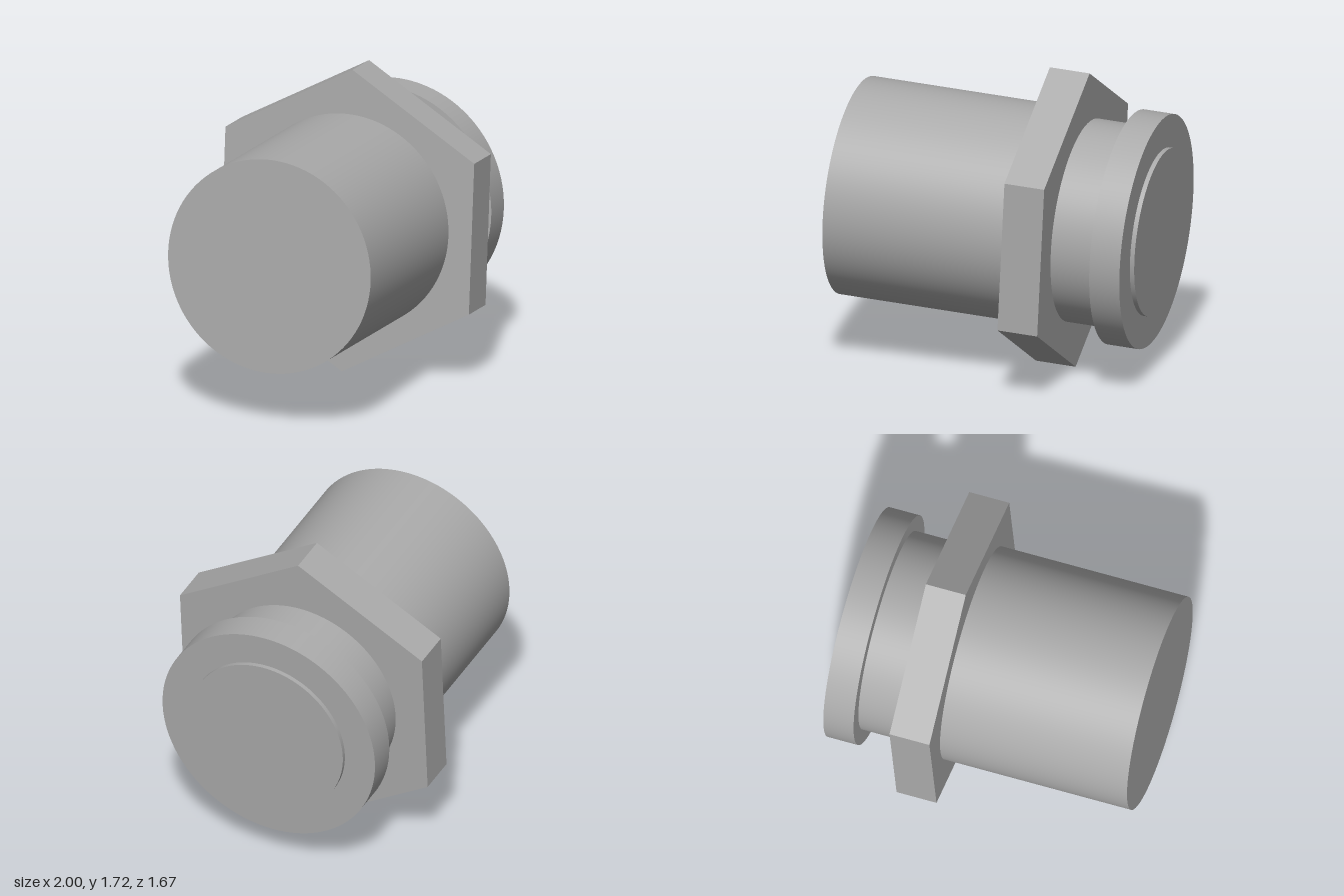
import * as THREE from 'three';

export function createModel() {
  const model = new THREE.Group();
  model.name = 'threadedFitting';

  const steel = new THREE.MeshStandardMaterial({ color: 0xaaaaaa });
  steel.name = 'grey steel';

  // Tilted fitting: local y runs along its axis, local z points to a nut corner
  const fitting = new THREE.Group();
  fitting.name = 'fitting';
  const axis = new THREE.Vector3(1, -0.054, -0.285).normalize();
  const up = new THREE.Vector3(0.054, 1, 0).normalize();
  const side = new THREE.Vector3().crossVectors(axis, up);
  fitting.quaternion.setFromRotationMatrix(new THREE.Matrix4().makeBasis(side, axis, up));
  fitting.position.set(-0.833, 0.924, 0.254);
  model.add(fitting);

  // Adds a round or many-sided disc between two stations on the axis
  function addSection(name, radius, start, end, sides = 96) {
    let geometry = new THREE.CylinderGeometry(radius, radius, end - start, sides);
    if (sides < 12) {
      geometry = geometry.toNonIndexed();
      geometry.computeVertexNormals();
    }
    const mesh = new THREE.Mesh(geometry, steel);
    mesh.name = name;
    mesh.position.y = (start + end) / 2;
    fitting.add(mesh);
  }

  addSection('barrel', 0.602, 0, 1.1);
  addSection('hexNut', 0.854, 1.068, 1.296, 6);
  addSection('neck', 0.561, 1.25, 1.58);
  addSection('endCap', 0.649, 1.547, 1.72);
  addSection('endBoss', 0.465, 1.70, 1.745);

  return model;
}
